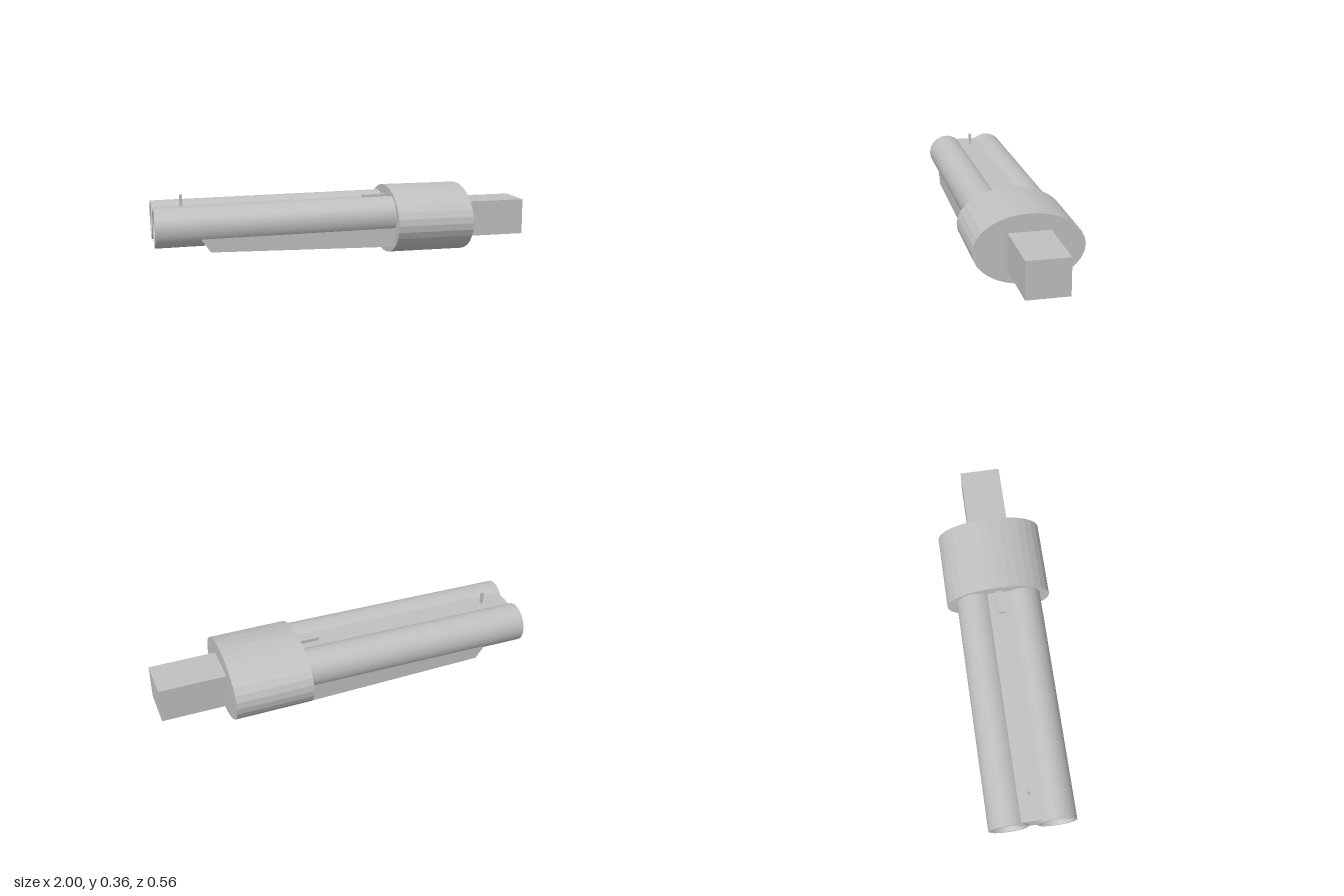
import * as THREE from 'three';
import { toCreasedNormals } from 'three/addons/utils/BufferGeometryUtils.js';

export function createModel() {
  const model = new THREE.Group();
  const grey = new THREE.MeshStandardMaterial({ color: 0xc0c0c0 });
  grey.name = 'plain grey';

  const add = (parent, name, geometry) => {
    const mesh = new THREE.Mesh(geometry, grey);
    mesh.name = name;
    parent.add(mesh);
    return mesh;
  };
  // Box given by its limits on each axis
  const box = (x0, x1, y0, y1, z0, z1) =>
    new THREE.BoxGeometry(x1 - x0, y1 - y0, z1 - z0)
      .translate((x0 + x1) / 2, (y0 + y1) / 2, (z0 + z1) / 2);

  // Faceted oval collar
  const oval = new THREE.CylinderGeometry(1, 1, 0.41, 32)
    .rotateZ(-Math.PI / 2).scale(1, 0.18, 0.28).toNonIndexed();
  oval.computeVertexNormals();
  add(model, 'collar', oval).position.set(0.445, 0.182, 0);

  // Square block behind the collar
  add(model, 'rearBlock', box(0.65, 1, 0.08, 0.27, -0.108, 0.108));

  // Twin tubes and the parts on them rise slightly towards the collar
  const tubes = new THREE.Group();
  tubes.name = 'tubeAssembly';
  tubes.position.set(-1, 0.202, 0);
  tubes.rotation.z = 0.012;
  model.add(tubes);

  // Hollow tube with a countersunk mouth
  const profile = [[0, 0.7], [0.07, 0.7], [0.07, 0.025], [0.088, 0], [0.102, 0], [0.102, 1.26]]
    .map(([r, y]) => new THREE.Vector2(r, y));
  const tube = toCreasedNormals(
    new THREE.LatheGeometry(profile, 40).rotateZ(-Math.PI / 2), 0.5);
  add(tubes, 'leftTube', tube).position.z = 0.124;
  add(tubes, 'rightTube', tube).position.z = -0.124;

  // Flat rib filling the valley between the tubes
  add(tubes, 'centreRib', box(0.01, 1.26, -0.06, 0.08, -0.06, 0.06));
  add(tubes, 'frontPin', box(0.142, 0.157, 0.06, 0.146, -0.006, 0.006));
  add(tubes, 'topLever', box(1.12, 1.25, 0.07, 0.098, -0.02, 0.02));

  // Underside grip with a slanted front end
  const side = new THREE.Shape([
    [-0.725, 0.082], [0.25, 0.063], [0.25, 0.2], [-0.74, 0.18], [-0.77, 0.145],
  ].map(([x, y]) => new THREE.Vector2(x, y)));
  add(model, 'undersideGrip', new THREE.ExtrudeGeometry(side, { depth: 0.42, bevelEnabled: false })
    .translate(0, 0, -0.21));

  return model;
}
